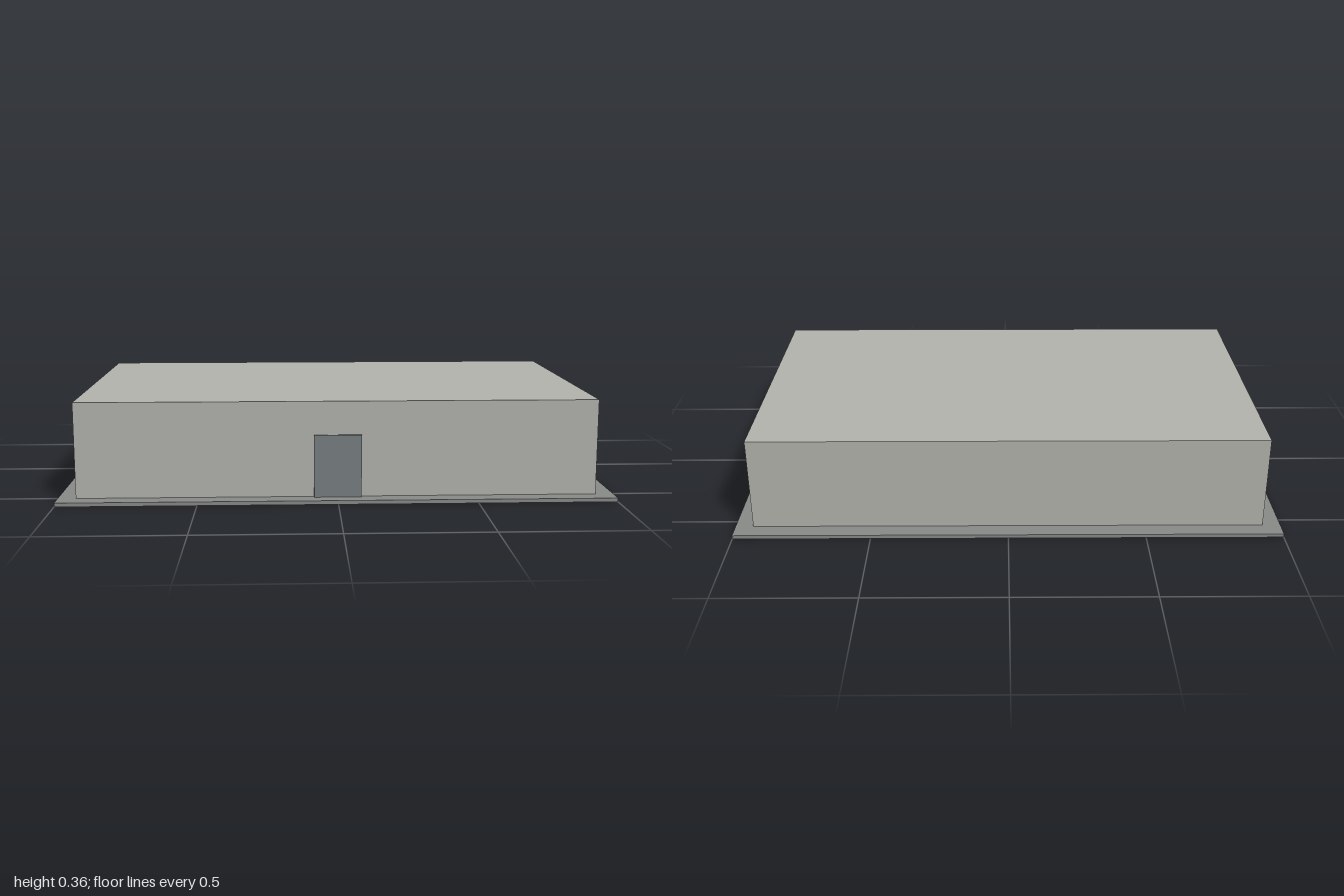
import * as THREE from 'three';

// Box spanning the given width and depth, resting at height y0 up to y1
function block(name, color, width, depth, y0, y1, z = 0) {
  const mesh = new THREE.Mesh(
    new THREE.BoxGeometry(width, y1 - y0, depth),
    new THREE.MeshStandardMaterial({ color })
  );
  mesh.name = name;
  mesh.position.set(0, (y0 + y1) / 2, z);
  return mesh;
}

export function createModel() {
  const model = new THREE.Group();
  model.name = 'building';

  // Thin ground slab projecting evenly around the walls
  model.add(block('foundationSlab', 0x8a8c8a, 2, 1.246, 0, 0.014));

  // Plain flat-roofed hall
  model.add(block('mainHall', 0xb5b5af, 1.87, 1.116, 0.014, 0.36));

  // Door panel standing just in front of the front wall
  model.add(block('frontDoor', 0x7a8084, 0.17, 0.008, 0.014, 0.24, 0.568));

  return model;
}
